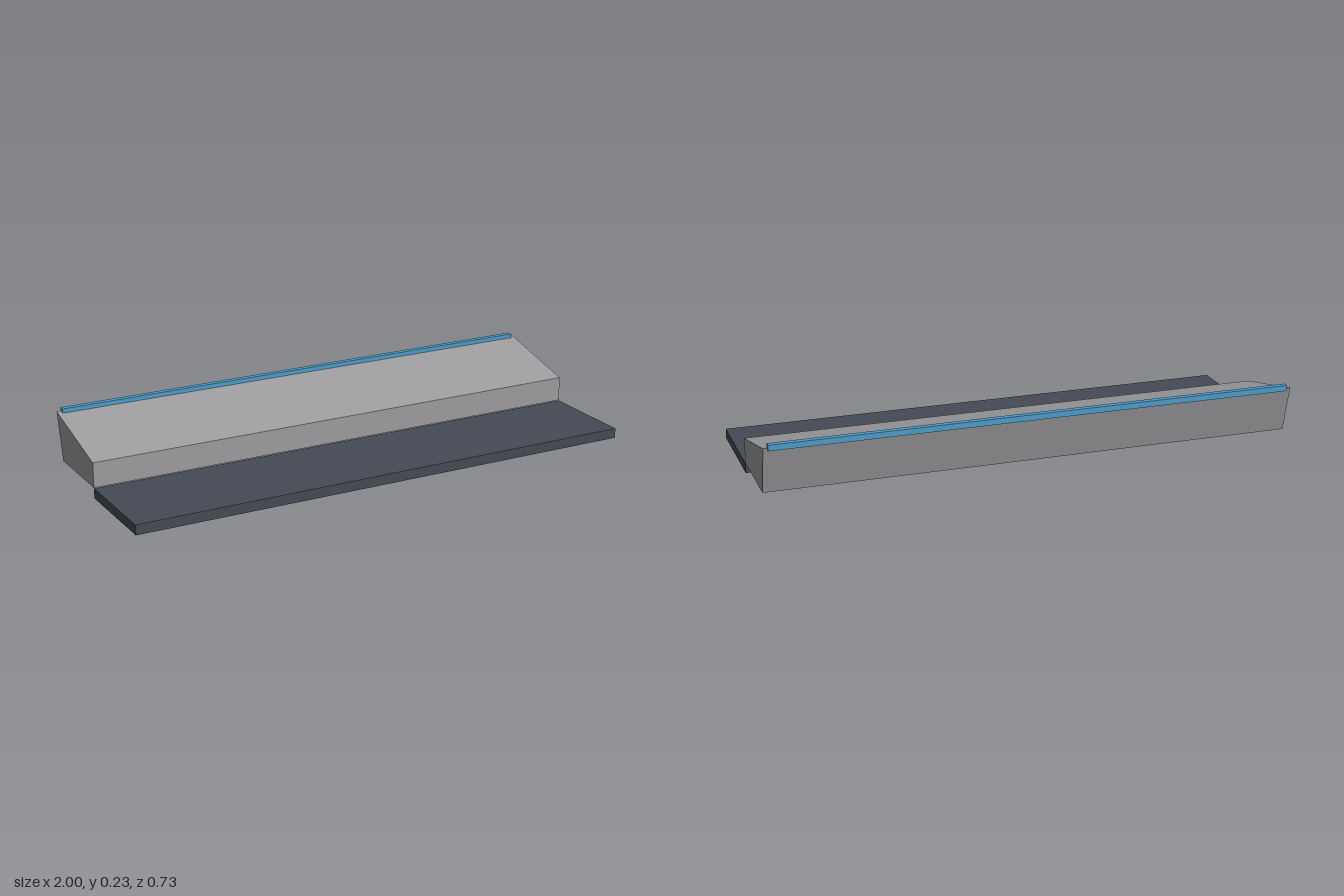
import * as THREE from 'three';

const material = (name, color) => {
  const m = new THREE.MeshStandardMaterial({ color });
  m.name = name;
  return m;
};

export function createModel() {
  const group = new THREE.Group();
  const slate = material('darkSlate', 0x454a54);
  const grey = material('grey', 0x9c9c9e);
  const blue = material('blue', 0x4f9bc8);

  const add = (name, geometry, mat, x, y, z) => {
    const mesh = new THREE.Mesh(geometry, mat);
    mesh.name = name;
    mesh.position.set(x, y, z);
    group.add(mesh);
    return mesh;
  };

  // Flat slab in front
  add('baseSlab', new THREE.BoxGeometry(2, 0.038, 0.38), slate, 0, 0.019, 0.177);

  // Sloping body behind it: side profile in (-z, y), extruded along the width
  const profile = new THREE.Shape([
    [0.013, 0.04], [0.318, 0.04], [0.363, 0.22], [0.013, 0.135],
  ].map(([d, y]) => new THREE.Vector2(d, y)));
  const bodyGeometry = new THREE.ExtrudeGeometry(profile, { depth: 2, bevelEnabled: false });
  bodyGeometry.translate(0, 0, -1).rotateY(Math.PI / 2);
  add('slopedBody', bodyGeometry, grey, 0, 0, 0);

  // Thin strip along the raised back edge
  add('edgeStrip', new THREE.BoxGeometry(1.966, 0.022, 0.022), blue, 0, 0.221, -0.356);

  return group;
}
